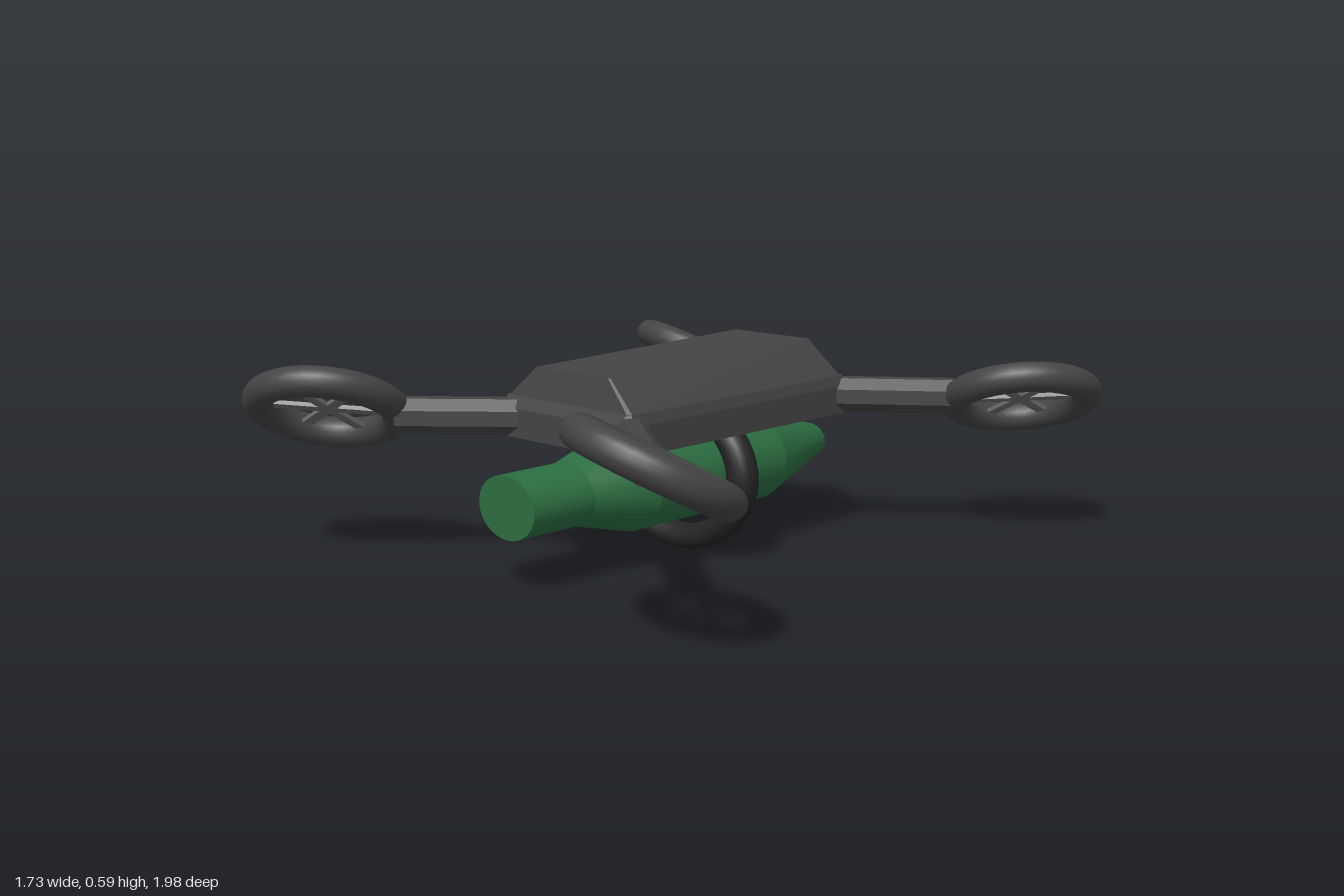
import * as THREE from 'three';
import { ConvexGeometry } from 'three/addons/geometries/ConvexGeometry.js';

const paint = (name, color) => {
  const m = new THREE.MeshStandardMaterial({ color });
  m.name = name;
  return m;
};

export function createModel() {
  const model = new THREE.Group();
  model.name = 'quadcopter';
  const charcoal = paint('charcoal', 0x444444);
  const black = paint('black', 0x242424);
  const grey = paint('spoke grey', 0x6e6e6e);
  const green = paint('bottle green', 0x2c6e41);
  const red = paint('lamp red', 0xcc2222);

  const add = (name, geometry, material, parent = model) => {
    const mesh = new THREE.Mesh(geometry, material);
    mesh.name = name;
    parent.add(mesh);
    return mesh;
  };
  const V = (x, y, z) => new THREE.Vector3(x, y, z);

  // Rectangle of points at height y, with chamfered corners
  const ring = (hw, back, front, yBack, yFront, c) => {
    const pts = [];
    for (const s of [-1, 1]) {
      for (const [z, y, d] of [[back, yBack, 1], [front, yFront, -1]]) {
        pts.push(V(s * (hw - c) - 0.01, y, z), V(s * hw - 0.01, y, z + d * c));
      }
    }
    return pts;
  };

  // Chassis slab and the sloped cover on it
  add('chassis', new ConvexGeometry([
    ...ring(0.25, -0.47, 0.475, 0.37, 0.37, 0.03),
    ...ring(0.25, -0.47, 0.475, 0.45, 0.45, 0.03),
    ...ring(0.24, -0.44, 0.45, 0.48, 0.48, 0.01),
  ]), charcoal);
  add('cover', new ConvexGeometry([
    ...ring(0.24, -0.435, 0.445, 0.475, 0.475, 0.01),
    ...ring(0.143, -0.395, 0.425, 0.582, 0.562, 0.005),
  ]), charcoal);

  // Bottle slung beneath, as a row of tapering sections [z, radius]
  const bottle = new THREE.Group();
  bottle.name = 'bottle';
  bottle.position.set(-0.01, 0.235, 0);
  bottle.scale.y = 0.8;
  model.add(bottle);
  const profile = [[-0.58, 0.062], [-0.265, 0.17], [0.255, 0.17], [0.445, 0.108], [0.662, 0.108]];
  for (let i = 0; i < profile.length - 1; i++) {
    const [z0, r0] = profile[i], [z1, r1] = profile[i + 1];
    const g = new THREE.CylinderGeometry(r1, r0, z1 - z0, 40, 1, false);
    g.rotateX(Math.PI / 2).translate(0, 0, (z0 + z1) / 2);
    add('bottleSection', g, green, bottle);
  }

  // Strap ring around the bottle
  const strap = add('strapRing', new THREE.TorusGeometry(0.24, 0.045, 16, 48), black);
  strap.position.set(-0.01, 0.235, 0.008);
  strap.scale.y = 0.81;

  // Tail lamp
  const lamp = add('tailLamp', new THREE.SphereGeometry(1, 28, 18), red);
  lamp.scale.set(0.086, 0.043, 0.05);
  lamp.position.set(-0.01, 0.433, -0.492);

  // Arms and tilted rotors: arm start, arm end, rotor centre, rotor normal, spoke turn
  const corners = [
    { a: [0.2, 0.42], b: [0.49, 0.655], c: [0.633, 0.46, 0.775], n: [0.2, 0.88, -0.42], t: -0.26 },
    { a: [-0.17, 0.41], b: [-0.46, 0.66], c: [-0.617, 0.438, 0.775], n: [-0.33, 0.85, -0.42], t: 0.3 },
    { a: [0.18, -0.41], b: [0.48, -0.635], c: [0.622, 0.417, -0.773], n: [-0.33, 0.88, -0.33], t: 0.14 },
    { a: [-0.2, -0.38], b: [-0.46, -0.64], c: [-0.635, 0.41, -0.758], n: [0.17, 0.89, -0.42], t: -0.12 },
  ];
  const up = V(0, 1, 0);
  for (const { a, b, c, n, t } of corners) {
    const start = V(a[0], 0.422, a[1]), end = V(b[0], 0.422, b[1]);
    const armGeo = new THREE.CylinderGeometry(0.054, 0.054, start.distanceTo(end), 8)
      .rotateY(Math.PI / 8).toNonIndexed();
    armGeo.computeVertexNormals();
    const arm = add('arm', armGeo, charcoal);
    arm.position.copy(start).lerp(end, 0.5);
    // Keep a flat side of the arm facing up
    arm.rotation.set(Math.PI / 2, Math.atan2(b[0] - a[0], b[1] - a[1]), 0, 'YXZ');

    const rotor = new THREE.Group();
    rotor.name = 'rotor';
    rotor.position.set(...c);
    rotor.quaternion.setFromUnitVectors(up, V(...n).normalize());
    model.add(rotor);
    add('rotorRing', new THREE.TorusGeometry(0.19, 0.043, 16, 40).rotateX(Math.PI / 2), charcoal, rotor);
    for (let i = 0; i < 3; i++) {
      const spoke = add('spoke', new THREE.BoxGeometry(0.03, 0.012, 0.37), grey, rotor);
      spoke.rotation.y = t + i * Math.PI / 3;
    }
  }
  return model;
}
